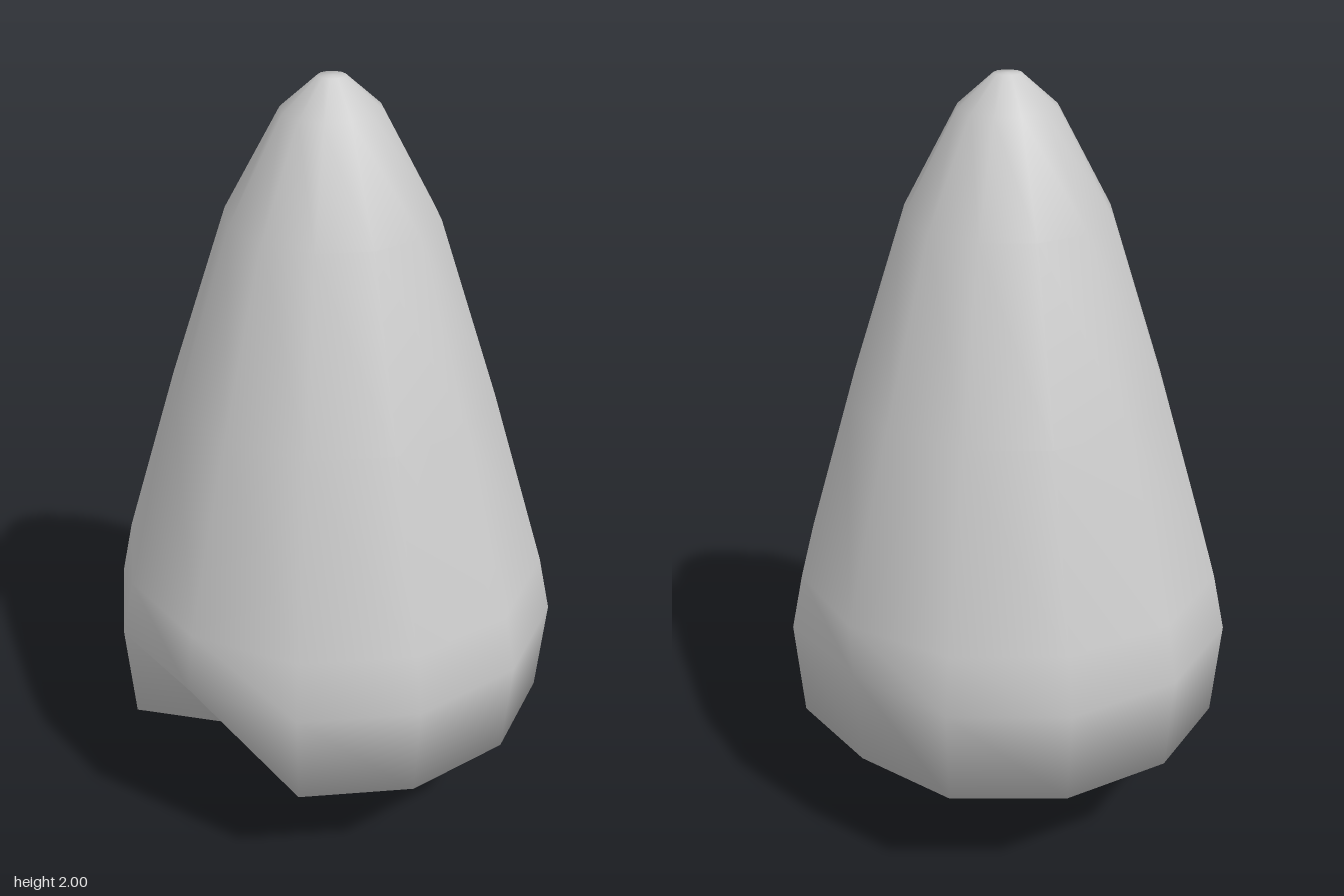
import * as THREE from 'three';
import { mergeVertices } from 'three/addons/utils/BufferGeometryUtils.js';

const TWIST = 0.065; // small turn shared by both lathed parts

// Lathed solid with shared vertices, optionally reshaped, then smoothed
function lathe(profile, sides, reshape) {
  const pts = profile.map(([r, y]) => new THREE.Vector2(r, y));
  let geo = new THREE.LatheGeometry(pts, sides, TWIST);
  geo.deleteAttribute('uv');
  geo.deleteAttribute('normal');
  geo = mergeVertices(geo, 1e-4);
  if (reshape) reshape(geo.attributes.position);
  geo.computeVertexNormals();
  return geo;
}

export function createModel() {
  const group = new THREE.Group();
  const material = new THREE.MeshStandardMaterial({ color: 0xcccccc });
  const add = (name, geo) => {
    const mesh = new THREE.Mesh(geo, material);
    mesh.name = name;
    group.add(mesh);
  };

  // Tall rounded crown, with a deep notch in one lower corner and a shallow one opposite
  const crownProfile = [
    [0, 0.32], [0.58, 0.31], [0.602, 0.57], [0.57, 0.72], [0.425, 1.2],
    [0.272, 1.66], [0.128, 1.92], [0.035, 2], [0, 2],
  ];
  const notches = [
    { column: 10, bottom: 0.62, middle: 0.985 },
    { column: 4, bottom: 0.94, middle: 0.935 },
  ];
  add('crown', lathe(crownProfile, 12, (pos) => {
    for (let i = 0; i < pos.count; i++) {
      const x = pos.getX(i), y = pos.getY(i), z = pos.getZ(i);
      const step = (Math.atan2(x, z) - TWIST) / (Math.PI / 6);
      const column = (Math.round(step) + 12) % 12;
      let k = 1;
      for (const n of notches) {
        if (column !== n.column || Math.hypot(x, z) < 0.1) continue;
        if (y < 0.4) k = n.bottom;
        else if (y < 0.6) k = n.middle;
      }
      pos.setXYZ(i, x * k * 0.98, y, z * k * (y < 0.4 ? 0.985 : 1));
    }
  }));

  // Six-sided flared trunk
  add('trunk', lathe([[0.117, 0], [0.086, 0.18], [0.074, 0.34]], 6));

  // Flat underside of the trunk
  const base = new THREE.CircleGeometry(0.117, 6, Math.PI / 2 - TWIST);
  base.rotateX(Math.PI / 2);
  base.scale(1, 1, -1);
  const idx = base.index.array;
  for (let i = 0; i < idx.length; i += 3) [idx[i], idx[i + 1]] = [idx[i + 1], idx[i]];
  base.computeVertexNormals();
  // Keep the disc facing down whichever way the mirroring left it
  if (base.attributes.normal.getY(0) > 0) {
    for (let i = 0; i < idx.length; i += 3) [idx[i], idx[i + 1]] = [idx[i + 1], idx[i]];
    base.computeVertexNormals();
  }
  add('trunkBase', base);

  return group;
}
